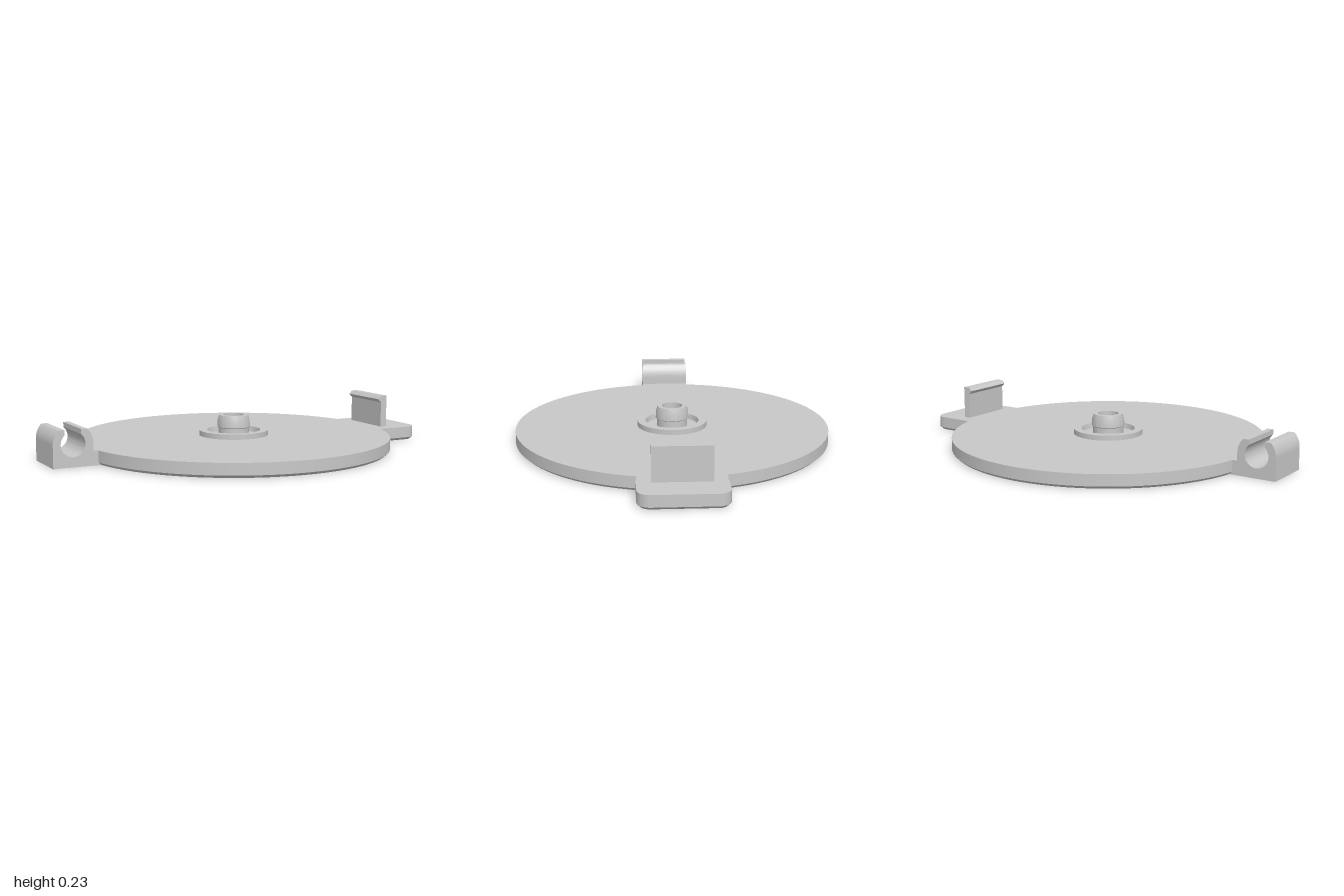
import * as THREE from 'three';
import { toCreasedNormals } from 'three/addons/utils/BufferGeometryUtils.js';

const grey = new THREE.MeshStandardMaterial({ color: 0xc8c8c8 });
grey.name = 'light grey';

const TOP = 0.07; // top of the plate

function part(name, geometry, crease = 0.4) {
  const mesh = new THREE.Mesh(toCreasedNormals(geometry, crease), grey);
  mesh.name = name;
  return mesh;
}

// Outline of disc plus rounded tab, shrunk by an inset
function outline(inset) {
  const R = 0.79 - inset, half = 0.205 - inset, end = 1 - inset, r = 0.06 - inset;
  const pts = [];
  const arc = (cx, cz, rad, a0, a1, n) => {
    for (let i = 0; i <= n; i++) {
      const a = a0 + (a1 - a0) * i / n;
      pts.push(new THREE.Vector2(cx + rad * Math.cos(a), cz + rad * Math.sin(a)));
    }
  };
  const start = Math.asin(half / R);
  arc(0, 0, R, start, 2 * Math.PI - start, 112);
  arc(end - r, -half + r, r, -Math.PI / 2, 0, 10);
  arc(end - r, half - r, r, 0, Math.PI / 2, 10);
  return pts;
}

// Plate with a chamfered lower edge, lofted through three rings
function plateGeometry() {
  const rings = [[0.014, 0], [0, 0.013], [0, TOP]].map(([inset, y]) =>
    outline(inset).map(p => new THREE.Vector3(p.x, y, p.y)));
  const n = rings[0].length;
  const index = [];
  for (let k = 0; k < 2; k++) {
    for (let i = 0; i < n; i++) {
      const a = k * n + i, b = k * n + (i + 1) % n;
      index.push(a, a + n, b, b, a + n, b + n);
    }
  }
  for (const [a, b, c] of THREE.ShapeUtils.triangulateShape(outline(0), [])) {
    index.push(a, b, c, 2 * n + a, 2 * n + c, 2 * n + b);
  }
  const geometry = new THREE.BufferGeometry().setFromPoints(rings.flat());
  geometry.setIndex(index);
  return geometry;
}

// Profile in x and y, extruded symmetrically along z
function extrudeZ(shape, width) {
  return new THREE.ExtrudeGeometry(shape, { depth: width, bevelEnabled: false, curveSegments: 32 })
    .translate(0, 0, -width / 2);
}

function lathe(points) {
  return new THREE.LatheGeometry(points.map(([x, y]) => new THREE.Vector2(x, y)), 64);
}

function polygon(points) {
  return new THREE.Shape(points.map(([x, y]) => new THREE.Vector2(x, y)));
}

// Open C-shaped snap clip on a square foot
function clipShape() {
  const cx = -0.902, cy = 0.108, outer = 0.098, bore = 0.06;
  const lip = Math.acos(0.04 / bore), shoulder = Math.PI / 4;
  const topY = cy + outer * Math.sin(shoulder);
  const s = new THREE.Shape();
  s.moveTo(-1, 0);
  s.lineTo(-0.75, 0);
  s.lineTo(-0.75, TOP);
  s.lineTo(cx + outer, TOP);
  s.lineTo(cx + outer, cy);
  s.absarc(cx, cy, outer, 0, shoulder, false);
  s.lineTo(cx + 0.04, topY);
  s.absarc(cx, cy, bore, lip, -Math.PI - lip, true);
  s.lineTo(cx - 0.04, topY);
  s.absarc(cx, cy, outer, Math.PI - shoulder, Math.PI, false);
  s.closePath();
  return s;
}

export function createModel() {
  const model = new THREE.Group();
  model.name = 'lid';

  model.add(part('plate', plateGeometry()));
  model.add(part('hingeClip', extrudeZ(clipShape(), 0.25)));

  // Upright latch with a hooked lip facing the centre
  model.add(part('latch', extrudeZ(polygon([
    [0.812, 0.06], [0.847, 0.06], [0.847, 0.235], [0.812, 0.235],
    [0.794, 0.218], [0.812, 0.2],
  ]), 0.275)));

  // Raised ring and hollow post in the middle
  model.add(part('centreRing', lathe([
    [0.175, TOP], [0.175, 0.096], [0.135, 0.096], [0.13, TOP],
  ])));
  model.add(part('centrePost', lathe([
    [0.077, TOP], [0.077, 0.108], [0.083, 0.112], [0.081, 0.145], [0.074, 0.172],
    [0.052, 0.172], [0.052, TOP + 0.002], [0, TOP + 0.002],
  ])));

  return model;
}
